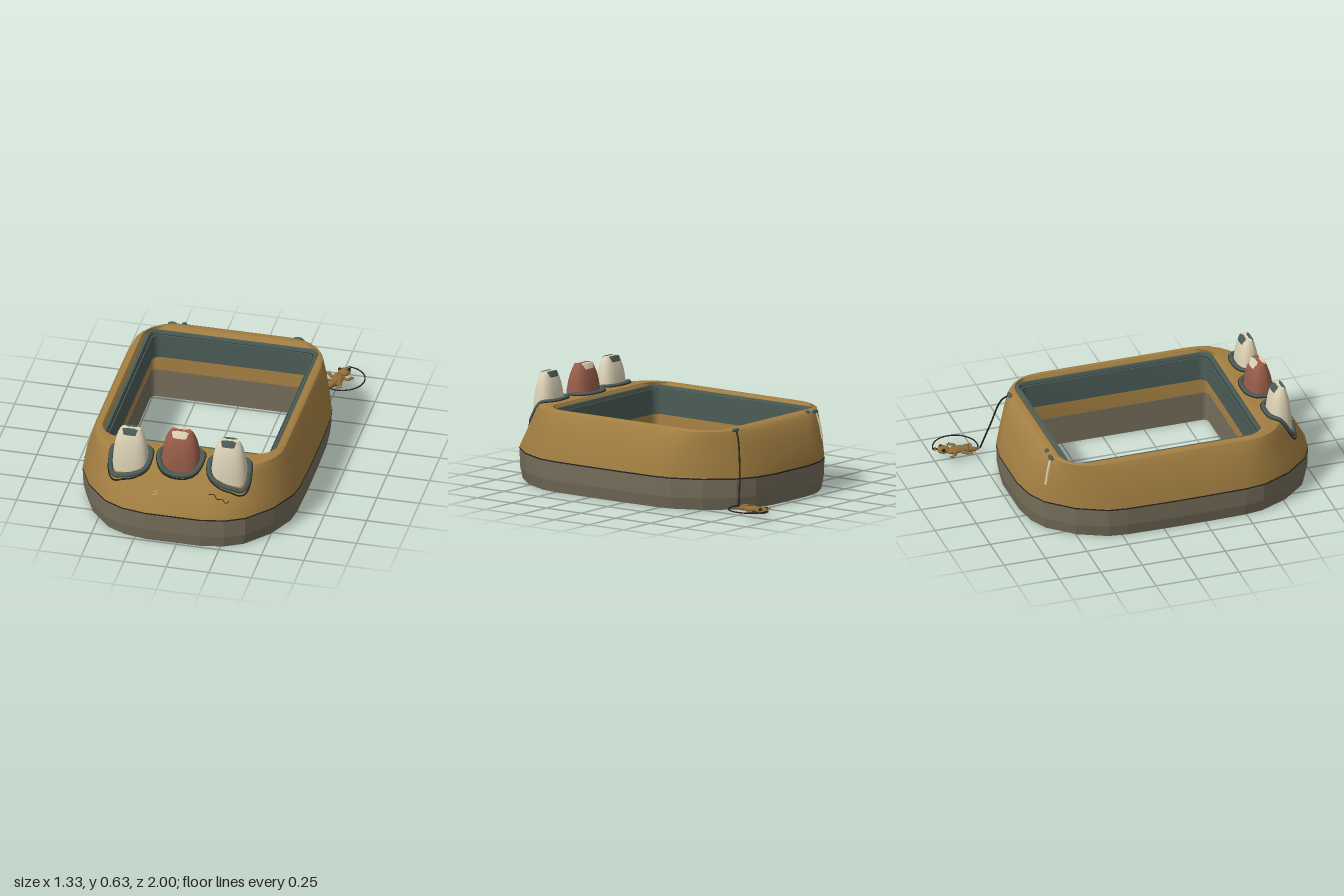
import * as THREE from 'three';
import { toCreasedNormals } from 'three/addons/utils/BufferGeometryUtils.js';

const mat = (name, color, double) => {
  const m = new THREE.MeshStandardMaterial({ color });
  m.name = name;
  if (double) m.side = THREE.DoubleSide;
  return m;
};
const CX = -0.025; // the case sits slightly to the right of centre
// one quarter of the case outline, from the side to the end
const QUARTER = [[0.64, 0.12], [0.635, 0.36], [0.62, 0.47], [0.54, 0.64], [0.41, 0.785], [0.3, 0.84], [0.16, 0.865]];

// Mirrors a quarter of points into a full loop, running from +x towards +z
function mirrorLoop(q) {
  const r = [...q].reverse();
  return [...q, ...r.map(([x, z]) => [-x, z]), ...q.map(([x, z]) => [-x, -z]), ...r.map(([x, z]) => [x, -z])];
}

// Ring of the case: t blends from the rounded outline (0) to a rounded rectangle (1)
function caseRing(y, hx, zf, zb, t = 0, r = 0.22) {
  const hz = (zf - zb) / 2, cz = (zf + zb) / 2;
  const q = QUARTER.map(([x, z], i) => {
    const a = (i / 6) * Math.PI / 2;
    const rx = hx - r + r * Math.cos(a), rz = hz - r + r * Math.sin(a);
    return [THREE.MathUtils.lerp(x / 0.64 * hx, rx, t), THREE.MathUtils.lerp(z / 0.865 * hz, rz, t)];
  });
  return mirrorLoop(q).map(([x, z]) => [CX + x, y, cz + z]);
}

// Skins a list of rings; faces look outward when the rings rise
function loft(rings, crease = 0.6, closed = true) {
  const n = rings[0].length, idx = [];
  for (let i = 0; i < rings.length - 1; i++) {
    for (let j = 0; j < (closed ? n : n - 1); j++) {
      const a = i * n + j, d = i * n + (j + 1) % n, b = a + n, c = d + n;
      idx.push(a, b, c, a, c, d);
    }
  }
  const g = new THREE.BufferGeometry();
  g.setAttribute('position', new THREE.Float32BufferAttribute(rings.flat(2), 3));
  g.setIndex(idx);
  return toCreasedNormals(g, crease);
}

// Squarish oval ring for the buttons
function oval(cx, cz, y, hx, hz, a0 = 0, a1 = Math.PI * 2, n = 36) {
  const pts = [], full = a1 - a0 > 6;
  const p = (v) => Math.sign(v) * Math.pow(Math.abs(v), 0.8);
  for (let i = 0; i < (full ? n : n + 1); i++) {
    const a = a0 + (a1 - a0) * i / n;
    pts.push([cx + hx * p(Math.cos(a)), y, cz + hz * p(Math.sin(a))]);
  }
  return pts;
}

export function createModel() {
  const model = new THREE.Group();
  const brown = mat('brown shell', 0xa37f42), grey = mat('grey base', 0x766e5b);
  const teal = mat('slate trim', 0x4b5c57, true), cream = mat('cream', 0xdcd2b6, true);
  const red = mat('brick red', 0x985c49), dark = mat('dark line', 0x26241f, true);
  const lizardMat = mat('lizard tan', 0x8f6c38);
  const add = (name, geo, m, parent = model) => {
    const mesh = new THREE.Mesh(geo, m);
    mesh.name = name;
    parent.add(mesh);
    return mesh;
  };
  const tube = (pts, r, closed = false, seg = 32) => new THREE.TubeGeometry(
    new THREE.CatmullRomCurve3(pts.map((p) => new THREE.Vector3(...p)), closed), seg, r, 6, closed);

  // Lower base with a through opening
  const baseOuter = caseRing(0, 0.62, 0.985, -0.715);
  add('base', loft([
    baseOuter, caseRing(0.07, 0.636, 0.997, -0.727), caseRing(0.17, 0.641, 1, -0.73),
    caseRing(0.18, 0.641, 1, -0.73), caseRing(0.18, 0.485, 0.63, -0.52, 1, 0.03),
    caseRing(0, 0.485, 0.63, -0.52, 1, 0.03), baseOuter,
  ], 0.06), grey);

  // Dark seam between base and shell
  add('seam', loft([caseRing(0.178, 0.643, 1.001, -0.732), caseRing(0.186, 0.642, 1, -0.731)], 0.4), dark);

  // Upper shell: sloping sides, flat rim, chamfer and inner wall
  const shell = add('shell', loft([
    caseRing(0.18, 0.64, 1, -0.73), caseRing(0.2, 0.637, 0.993, -0.727, 0.02),
    caseRing(0.28, 0.621, 0.937, -0.703, 0.15), caseRing(0.37, 0.594, 0.872, -0.667, 0.4),
    caseRing(0.43, 0.569, 0.822, -0.632, 0.7), caseRing(0.453, 0.555, 0.79, -0.61, 0.9),
    caseRing(0.46, 0.541, 0.765, -0.592, 1), caseRing(0.46, 0.52, 0.665, -0.56, 1, 0.14),
    caseRing(0.435, 0.5, 0.645, -0.535, 1, 0.05), caseRing(0.18, 0.488, 0.632, -0.522, 1, 0.03),
  ], 0.5), brown);

  // Window liner
  const liner = (y, inset) => caseRing(y, 0.505 - inset, 0.65 - inset, -0.54 + inset, 1, 0.045);
  add('windowLiner', loft([
    liner(0.28, 0), liner(0.44, 0), liner(0.445, 0.008), liner(0.445, 0.02),
    liner(0.425, 0.025), liner(0.425, 0.035), liner(0.28, 0.037), liner(0.28, 0),
  ], 0.3), teal);
  add('linerGroove', loft([liner(0.427, 0.021), liner(0.427, 0.029)], 0.3), dark);

  // Height of the shell under a point
  const ray = new THREE.Raycaster();
  const onShell = (x, z, lift = 0) => {
    ray.set(new THREE.Vector3(x, 2, z), new THREE.Vector3(0, -1, 0));
    const hit = ray.intersectObject(shell)[0];
    return [x, (hit ? hit.point.y : 0.4) + lift, z];
  };

  // Three domed buttons with gaskets and worn patches on top
  const PROFILE = [[0.33, 1, 1], [0.4, 1, 1], [0.46, 0.96, 0.96], [0.52, 0.88, 0.85], [0.56, 0.8, 0.72],
    [0.59, 0.7, 0.58], [0.612, 0.6, 0.46], [0.62, 0.54, 0.4], [0.62, 0.001, 0.001]];
  const buttons = [
    ['rightButton', CX - 0.29, 0.8, 0.105, 0.068, 0, cream, teal],
    ['middleButton', CX, 0.775, 0.115, 0.08, 0.008, red, cream],
    ['leftButton', CX + 0.29, 0.8, 0.105, 0.068, 0, cream, teal],
  ];
  for (const [name, x, z, hx, hz, dy, main, patch] of buttons) {
    const g = new THREE.Group();
    g.name = name;
    model.add(g);
    add('cap', loft(PROFILE.map(([y, a, b]) => oval(x, z, y + dy, hx * a, hz * b)), 0.7), main, g);
    for (const s of [1, -1]) {
      const mid = s * Math.PI / 2;
      const rows = PROFILE.slice(5, 8).map(([y, a, b], i) =>
        oval(x, z, y + dy + 0.002, hx * a + 0.002, hz * b + 0.002, mid - 0.4 - i * 0.22, mid + 0.4 + i * 0.22, 10));
      rows.push(oval(x, z, 0.622 + dy, hx * 0.2, hz * 0.15, mid - 0.84, mid + 0.84, 10));
      add('wornPatch', loft(rows, 0.5, false), patch, g);
    }
    const ring = oval(x, z, 0, hx + 0.012, hz + 0.01).map(([px, , pz]) => onShell(px, pz, 0.002));
    add('gasket', tube(ring, 0.015, true, 72), teal, g);
    const outer = oval(x, z, 0, hx + 0.024, hz + 0.022).map(([px, , pz]) => onShell(px, pz, 0.001));
    add('gasketEdge', tube(outer, 0.005, true, 72), dark, g);
  }

  // Hairline cracks and small chips on the front slope
  const crack = [[0.17, 0.915], [0.2, 0.912], [0.22, 0.922], [0.25, 0.917], [0.27, 0.925], [0.29, 0.915]];
  add('crack', tube(crack.map(([x, z]) => onShell(x, z)), 0.0025), dark);
  for (const z of [0.93, 0.94])
    add('chip', tube([onShell(-0.155, z), onShell(-0.13, z - 0.006)], 0.002, false, 4), cream);

  // Strap lugs at the back corners
  for (const [x, w] of [[-0.405, 0.03], [-0.335, 0.016], [0.335, 0.03]]) {
    const lug = add('strapLug', new THREE.SphereGeometry(1, 16, 10), teal);
    lug.scale.set(w, 0.012, 0.014);
    lug.position.set(...onShell(x, -0.603));
  }
  add('strapStub', tube([onShell(-0.41, -0.605, 0.004), onShell(-0.42, -0.625, 0.006), onShell(-0.425, -0.64, 0.004)], 0.008, false, 8), cream);

  // Cord and open ring of the charm
  const charm = new THREE.Group();
  charm.name = 'charm';
  model.add(charm);
  add('cord', tube([onShell(0.335, -0.605, 0.006), [0.365, 0.41, -0.645], [0.415, 0.23, -0.695], [0.475, 0.055, -0.735]], 0.005), dark, charm);
  const arc = [];
  for (let i = 0; i <= 24; i++) {
    const a = 1.95 - i / 24 * 3.45;
    arc.push([0.53 + 0.13 * Math.cos(a), 0.055, -0.867 + 0.13 * Math.sin(a)]);
  }
  add('ring', tube(arc, 0.004, false, 48), dark, charm);
  const loop = add('ringLoop', new THREE.TorusGeometry(0.01, 0.003, 6, 16), dark, charm);
  loop.rotation.x = Math.PI / 2;
  loop.position.set(0.54, 0.055, -0.985);

  // Lizard charm
  const lizard = new THREE.Group();
  lizard.name = 'lizard';
  charm.add(lizard);
  const blob = (name, x, y, z, sx, sy, sz, m = lizardMat) => {
    const b = add(name, new THREE.SphereGeometry(1, 16, 12), m, lizard);
    b.position.set(x, y, z);
    b.scale.set(sx, sy, sz);
    return b;
  };
  blob('head', 0.523, 0.053, -0.94, 0.037, 0.019, 0.038);
  blob('body', 0.505, 0.05, -0.865, 0.032, 0.018, 0.066).rotation.y = 0.2;
  for (const s of [1, -1]) blob('eye', 0.523 + s * 0.027, 0.063, -0.948, 0.01, 0.01, 0.012, dark);
  const spine = [[0.498, -0.83, 0.026], [0.485, -0.8, 0.019], [0.478, -0.77, 0.013], [0.477, -0.735, 0.003]];
  spine.slice(0, -1).forEach(([x, z, r], i) => {
    const [x2, z2, r2] = spine[i + 1];
    const seg = add('tail', new THREE.CylinderGeometry(r2, r, Math.hypot(x2 - x, z2 - z), 12), lizardMat, lizard);
    seg.position.set((x + x2) / 2, 0.05, (z + z2) / 2);
    seg.quaternion.setFromUnitVectors(new THREE.Vector3(0, 1, 0), new THREE.Vector3(x2 - x, 0, z2 - z).normalize());
  });
  const legs = [
    [[0.5, -0.895], [0.465, -0.885], [0.438, -0.91]], [[0.525, -0.89], [0.56, -0.865], [0.575, -0.885]],
    [[0.495, -0.84], [0.46, -0.84], [0.44, -0.808]], [[0.505, -0.835], [0.53, -0.815], [0.535, -0.785]],
  ];
  for (const leg of legs) {
    add('leg', tube(leg.map(([x, z]) => [x, 0.05, z]), 0.009, false, 10), lizardMat, lizard);
    const [k, f] = leg.slice(1);
    const dir = Math.atan2(f[1] - k[1], f[0] - k[0]);
    for (const a of [-0.9, 0, 0.9])
      add('toe', tube([[f[0], 0.05, f[1]], [f[0] + 0.02 * Math.cos(dir + a), 0.048, f[1] + 0.02 * Math.sin(dir + a)]], 0.004, false, 4), lizardMat, lizard);
  }
  return model;
}
